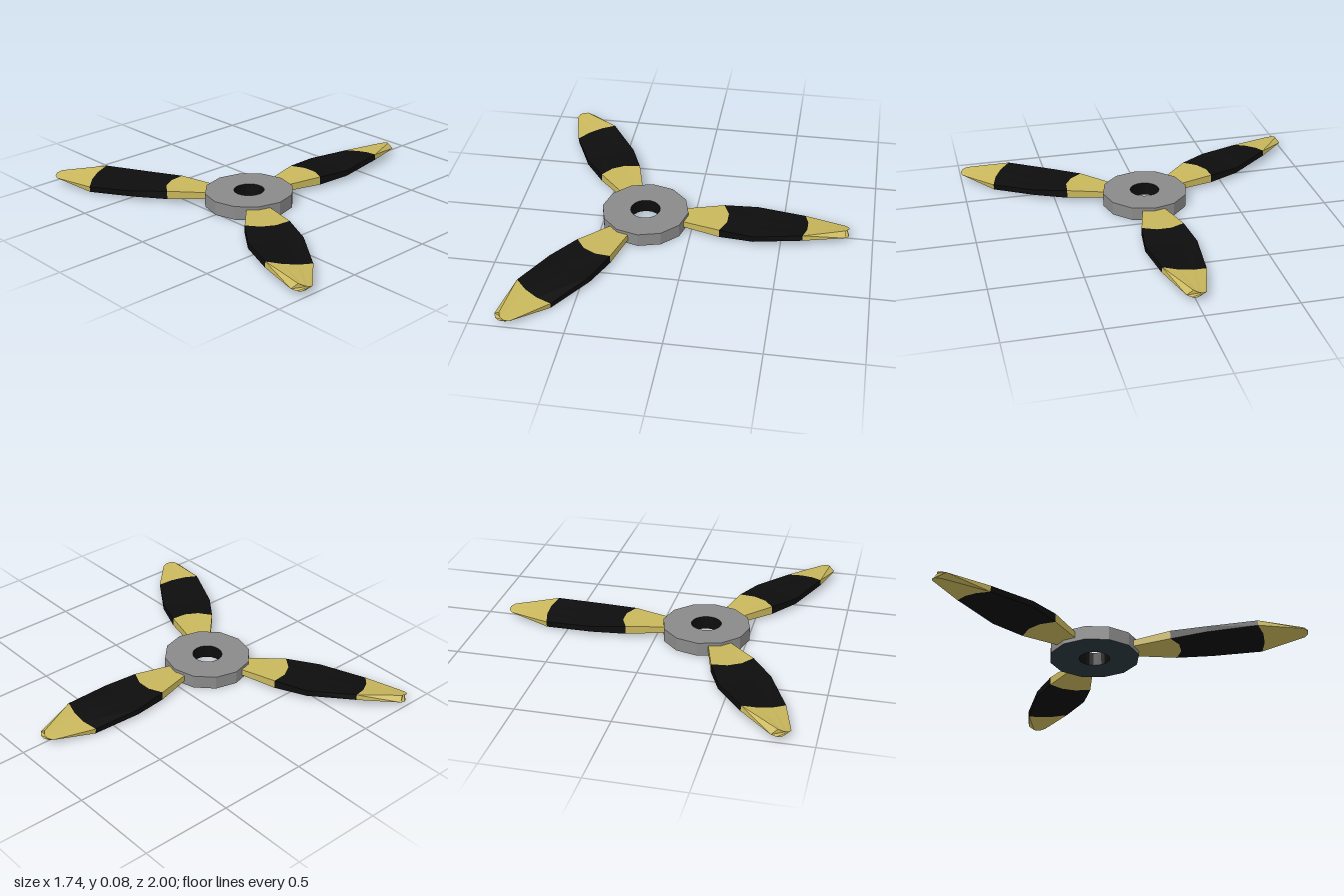
import * as THREE from 'three';

const yellow = new THREE.MeshStandardMaterial({ color: 0xc9b75c, flatShading: true });
const black = new THREE.MeshStandardMaterial({ color: 0x0d0d0d, flatShading: true, side: THREE.DoubleSide });
const grey = new THREE.MeshStandardMaterial({ color: 0x8a8a8a, flatShading: true });
const darkSlate = new THREE.MeshStandardMaterial({ color: 0x2c3a40, flatShading: true });
yellow.name = 'yellow';
black.name = 'black';
grey.name = 'grey';
darkSlate.name = 'darkSlate';

const HUB_X = -0.268, HUB_R = 0.243, HUB_H = 0.075, HOLE_R = 0.083;

// Blade sections: distance from the hub axis, outward bow of the middle,
// then [z, y] of back top, front top, front bottom and back bottom
const SECTIONS = [
  { r: 0.19, bow: 0, c: [[-0.055, 0.056], [0.055, 0.056], [0.055, 0.022], [-0.055, 0.022]] },
  { r: 0.43, bow: 0.035, c: [[-0.118, 0.063], [0.118, 0.063], [0.118, 0.017], [-0.118, 0.017]] },
  { r: 0.62, bow: 0, c: [[-0.143, 0.052], [0.143, 0.056], [0.143, 0.024], [-0.143, 0.02]] },
  { r: 0.888, bow: 0.02, c: [[-0.12, 0.037], [0.116, 0.075], [0.12, 0.045], [-0.116, 0.006]] },
  { r: 1.118, bow: 0.018, c: [[-0.055, 0.04], [0.015, 0.06], [0.05, 0.036], [-0.02, 0.02]] },
];

// Eight points around one section: two edges and two inner points above and below
function sectionRing({ r, bow, c }) {
  const ring = [];
  for (const [a, b] of [[c[0], c[1]], [c[2], c[3]]]) {
    for (const t of [0, 0.33, 0.67, 1]) {
      const x = r + (t > 0 && t < 1 ? bow : 0);
      ring.push([x, a[1] + (b[1] - a[1]) * t, a[0] + (b[0] - a[0]) * t]);
    }
  }
  return ring;
}

// Skin between consecutive sections, with an optional cap at the outer end
function loft(sections, capped) {
  const rings = sections.map(sectionRing);
  const pos = [];
  const tri = (...pts) => pts.forEach((p) => pos.push(...p));
  for (let i = 0; i < rings.length - 1; i++) {
    for (let j = 0; j < 8; j++) {
      const k = (j + 1) % 8;
      const a = rings[i][j], b = rings[i][k], c = rings[i + 1][k], d = rings[i + 1][j];
      tri(a, b, c);
      tri(a, c, d);
    }
  }
  if (capped) {
    const end = rings[rings.length - 1];
    for (let j = 1; j < 7; j++) tri(end[0], end[j], end[j + 1]);
  }
  const geo = new THREE.BufferGeometry();
  geo.setAttribute('position', new THREE.Float32BufferAttribute(pos, 3));
  geo.computeVertexNormals();
  return geo;
}

function addMesh(parent, name, geometry, material) {
  const mesh = new THREE.Mesh(geometry, material);
  mesh.name = name;
  parent.add(mesh);
  return mesh;
}

// Twelve-sided disc with a round hole
function hubFace() {
  const shape = new THREE.Shape();
  for (let i = 0; i < 12; i++) {
    const a = (i * Math.PI) / 6;
    shape[i ? 'lineTo' : 'moveTo'](HUB_R * Math.cos(a), HUB_R * Math.sin(a));
  }
  shape.closePath();
  const hole = new THREE.Path();
  hole.absarc(0, 0, HOLE_R, 0, Math.PI * 2, true);
  shape.holes.push(hole);
  return new THREE.ShapeGeometry(shape, 12);
}

export function createModel() {
  const model = new THREE.Group();
  model.name = 'propeller';

  // Hub
  const hub = new THREE.Group();
  hub.name = 'hub';
  hub.position.x = HUB_X;
  model.add(hub);
  addMesh(hub, 'hubTop', hubFace().rotateX(-Math.PI / 2).translate(0, HUB_H, 0), grey);
  addMesh(hub, 'hubBottom', hubFace().rotateX(Math.PI / 2), darkSlate);
  const rim = new THREE.CylinderGeometry(HUB_R, HUB_R, HUB_H, 12, 1, true);
  addMesh(hub, 'hubRim', rim.translate(0, HUB_H / 2, 0), grey);
  const bore = new THREE.CylinderGeometry(HOLE_R, HOLE_R, HUB_H, 24, 1, true);
  addMesh(hub, 'hubBore', bore.translate(0, HUB_H / 2, 0), black);

  // Three banded blades
  const rootGeo = loft(SECTIONS.slice(0, 2), false);
  const bandGeo = loft(SECTIONS.slice(1, 4), false);
  const tipGeo = loft(SECTIONS.slice(3), true);
  for (let i = 0; i < 3; i++) {
    const blade = new THREE.Group();
    blade.name = `blade${i + 1}`;
    blade.position.x = HUB_X;
    blade.rotation.y = (i * Math.PI * 2) / 3;
    addMesh(blade, 'bladeRoot', rootGeo, yellow);
    addMesh(blade, 'bladeBand', bandGeo, black);
    addMesh(blade, 'bladeTip', tipGeo, yellow);
    model.add(blade);
  }
  return model;
}
